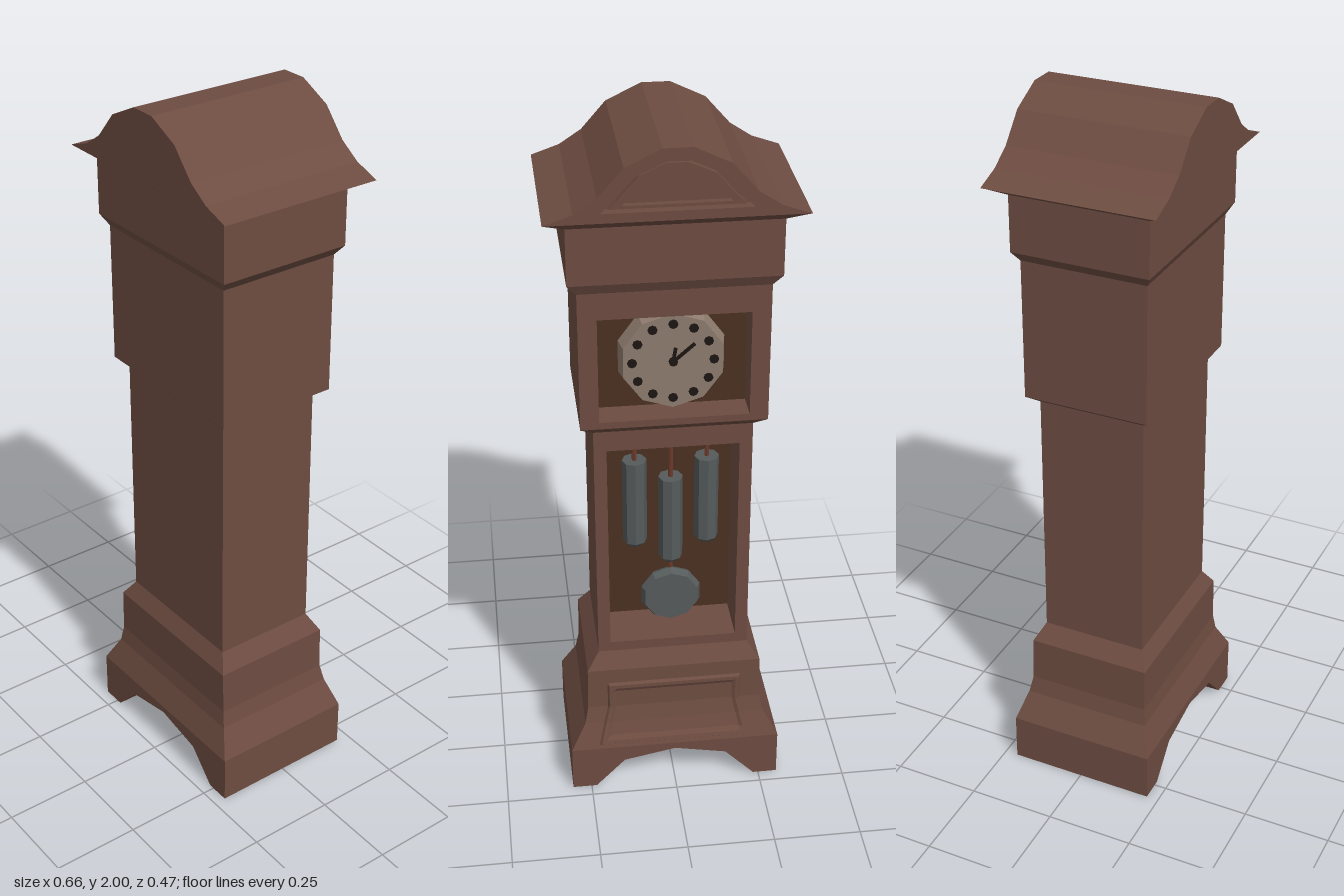
import * as THREE from 'three';

const mat = (color) => new THREE.MeshStandardMaterial({ color, flatShading: true, side: THREE.DoubleSide });

export function createModel() {
  const group = new THREE.Group();
  const wood = mat(0x6d4c41), darkWood = mat(0x4a3020), metal = mat(0x555a5a);
  const dialMat = mat(0x8d7b6d), black = mat(0x1c1614), rodMat = mat(0x6b3a2a);

  const add = (name, geo, material, x = 0, y = 0, z = 0) => {
    const m = new THREE.Mesh(geo, material);
    m.name = name;
    m.position.set(x, y, z);
    group.add(m);
    return m;
  };
  // right half of an outline, mirrored across x = 0
  const mirrored = (half) => [...half, ...half.map(([x, y]) => [-x, y]).reverse()]
    .map(([x, y]) => new THREE.Vector2(x, y));
  const prism = (name, outline, z0, z1, hole) => {
    const shape = new THREE.Shape(outline);
    if (hole) shape.holes.push(new THREE.Path(hole));
    return add(name, new THREE.ExtrudeGeometry(shape, { depth: z1 - z0, bevelEnabled: false }), wood, 0, 0, z0);
  };
  const rect = (hx, y0, y1) => mirrored([[hx, y0], [hx, y1]]);
  const block = (name, hx, y0, y1, z0, z1, material = wood) =>
    add(name, new THREE.BoxGeometry(2 * hx, y1 - y0, z1 - z0), material, 0, (y0 + y1) / 2, (z0 + z1) / 2);

  // stacked rectangular sections: [y, half width, z of dial side, z of plain side]
  const loft = (name, rows) => {
    const pos = [], idx = [];
    rows.forEach(([y, hx, zd, zp]) => pos.push(hx, y, zp, hx, y, zd, -hx, y, zd, -hx, y, zp));
    for (let r = 0; r < rows.length - 1; r++) {
      for (let i = 0; i < 4; i++) {
        const a = r * 4 + i, b = r * 4 + (i + 1) % 4;
        idx.push(a, b, b + 4, a, b + 4, a + 4);
      }
    }
    const t = (rows.length - 1) * 4;
    idx.push(0, 2, 1, 0, 3, 2, t, t + 1, t + 2, t, t + 2, t + 3);
    const g = new THREE.BufferGeometry();
    g.setAttribute('position', new THREE.Float32BufferAttribute(pos, 3));
    g.setIndex(idx);
    const flat = g.toNonIndexed();
    flat.computeVertexNormals();
    return add(name, flat, wood);
  };

  // arched feet and flared plinth
  prism('archedFeet', mirrored([[0.235, 0], [0.305, 0], [0.305, 0.14]])
    .concat([[-0.235, 0], [-0.15, 0.09], [0, 0.12], [0.15, 0.09]].map((p) => new THREE.Vector2(...p)))
    .filter((p, i) => i !== 5), -0.212, 0.215);
  const plinth = [
    [0.14, 0.305, -0.212, 0.215], [0.22, 0.262, -0.187, 0.186], [0.27, 0.252, -0.177, 0.18],
    [0.4, 0.25, -0.175, 0.18], [0.45, 0.215, -0.148, 0.155],
  ];
  loft('plinth', plinth);

  // moulded panel following the curve of the plinth
  const profileZ = (y) => {
    const i = Math.max(1, plinth.findIndex((r) => r[0] >= y));
    const [a, b] = [plinth[i - 1], plinth[i]];
    return a[2] + (b[2] - a[2]) * (y - a[0]) / (b[0] - a[0]);
  };
  const cols = [-1, -0.97, -0.92, -0.87, 0.87, 0.92, 0.97, 1];
  const rowsY = [0.15, 0.157, 0.168, 0.18, 0.22, 0.27, 0.325, 0.337, 0.348, 0.355];
  const lift = [-0.002, 0.008, 0.008, 0.002];
  const panel = new THREE.PlaneGeometry(1, 1, cols.length - 1, rowsY.length - 1);
  const pp = panel.attributes.position;
  rowsY.forEach((y, r) => cols.forEach((c, k) => {
    const edge = Math.min(r, k, rowsY.length - 1 - r, cols.length - 1 - k, 3);
    const halfW = 0.225 - 0.03 * Math.min(1, (y - 0.15) / 0.12);
    pp.setXYZ(r * cols.length + k, c * halfW, y, profileZ(y) - lift[edge]);
  }));
  panel.computeVertexNormals();
  add('plinthPanel', panel, wood);

  // waist with open pendulum window
  prism('waistFrame', rect(0.215, 0.45, 1.18), -0.148, 0, rect(0.18, 0.48, 1.12));
  block('waistBack', 0.215, 0.45, 1.18, 0, 0.155);
  block('waistLining', 0.18, 0.48, 1.12, -0.004, 0, darkWood);
  loft('lowerMoulding', [[1.18, 0.215, -0.148, 0.155], [1.205, 0.25, -0.175, 0.18]]);

  // hood with dial window
  prism('hoodFrame', rect(0.25, 1.205, 1.6), -0.175, -0.09, rect(0.2, 1.225, 1.525));
  block('hoodBack', 0.25, 1.205, 1.6, -0.09, 0.18);
  block('hoodLining', 0.2, 1.225, 1.525, -0.094, -0.09, darkWood);
  loft('cornice', [
    [1.6, 0.25, -0.175, 0.18], [1.63, 0.275, -0.19, 0.197],
    [1.785, 0.275, -0.19, 0.197], [1.815, 0.33, -0.235, 0.238],
  ]);

  // curved roof with recessed pediment
  const roof = mirrored([[0.332, 1.815], [0.257, 1.841], [0.198, 1.88], [0.132, 1.955], [0.038, 2]]);
  const arch = (s) => mirrored([[0.19, 1.84], [0.165, 1.865], [0.105, 1.932], [0.03, 1.966]]
    .map(([x, y]) => [x * s, 1.885 + (y - 1.885) * s]));
  prism('roof', roof, -0.205, 0.238);
  prism('pediment', roof, -0.235, -0.205, arch(1));
  prism('pedimentMoulding', arch(0.9), -0.222, -0.205, arch(0.72));

  // dial, hour marks and hands
  const disc = (name, r0, r1, depth, sides, material, x, y, z) => {
    const m = add(name, new THREE.CylinderGeometry(r0, r1, depth, sides), material, x, y, z);
    m.rotation.x = -Math.PI / 2;
    return m;
  };
  const dialY = 1.377;
  disc('dial', 0.138, 0.148, 0.045, 10, dialMat, 0, dialY, -0.1165);
  for (let i = 0; i < 12; i++) {
    const a = i * Math.PI / 6;
    disc('hourMark', 0.013, 0.013, 0.005, 8, black, Math.sin(a) * 0.108, dialY + Math.cos(a) * 0.108, -0.14);
  }
  disc('handHub', 0.012, 0.012, 0.012, 8, black, 0, dialY, -0.142);
  [['minuteHand', 0.085, 0.85], ['hourHand', 0.05, 0.15]].forEach(([name, len, angle]) => {
    const g = new THREE.BoxGeometry(0.009, len, 0.004);
    g.translate(0, len / 2 - 0.01, 0);
    add(name, g, black, 0, dialY, -0.143).rotation.z = angle;
  });

  // weights on rods and the pendulum
  const rod = (name, x, y0, y1) =>
    add(name, new THREE.CylinderGeometry(0.007, 0.007, y1 - y0, 6), rodMat, x, (y0 + y1) / 2, -0.085);
  [[-0.1, 0.78], [0, 0.72], [0.1, 0.78]].forEach(([x, y]) => {
    add('weight', new THREE.CylinderGeometry(0.034, 0.034, 0.26, 8), metal, x, y + 0.14, -0.085);
    add('weightTip', new THREE.CylinderGeometry(0.034, 0.02, 0.015, 8), metal, x, y + 0.0025, -0.085);
    rod('weightRod', x, y + 0.25, 1.13);
  });
  rod('pendulumRod', 0, 0.6, 1.13);
  disc('pendulumBob', 0.078, 0.088, 0.02, 10, metal, 0, 0.6, -0.1);
  disc('pendulumBobBack', 0.088, 0.078, 0.02, 10, metal, 0, 0.6, -0.08);

  return group;
}
